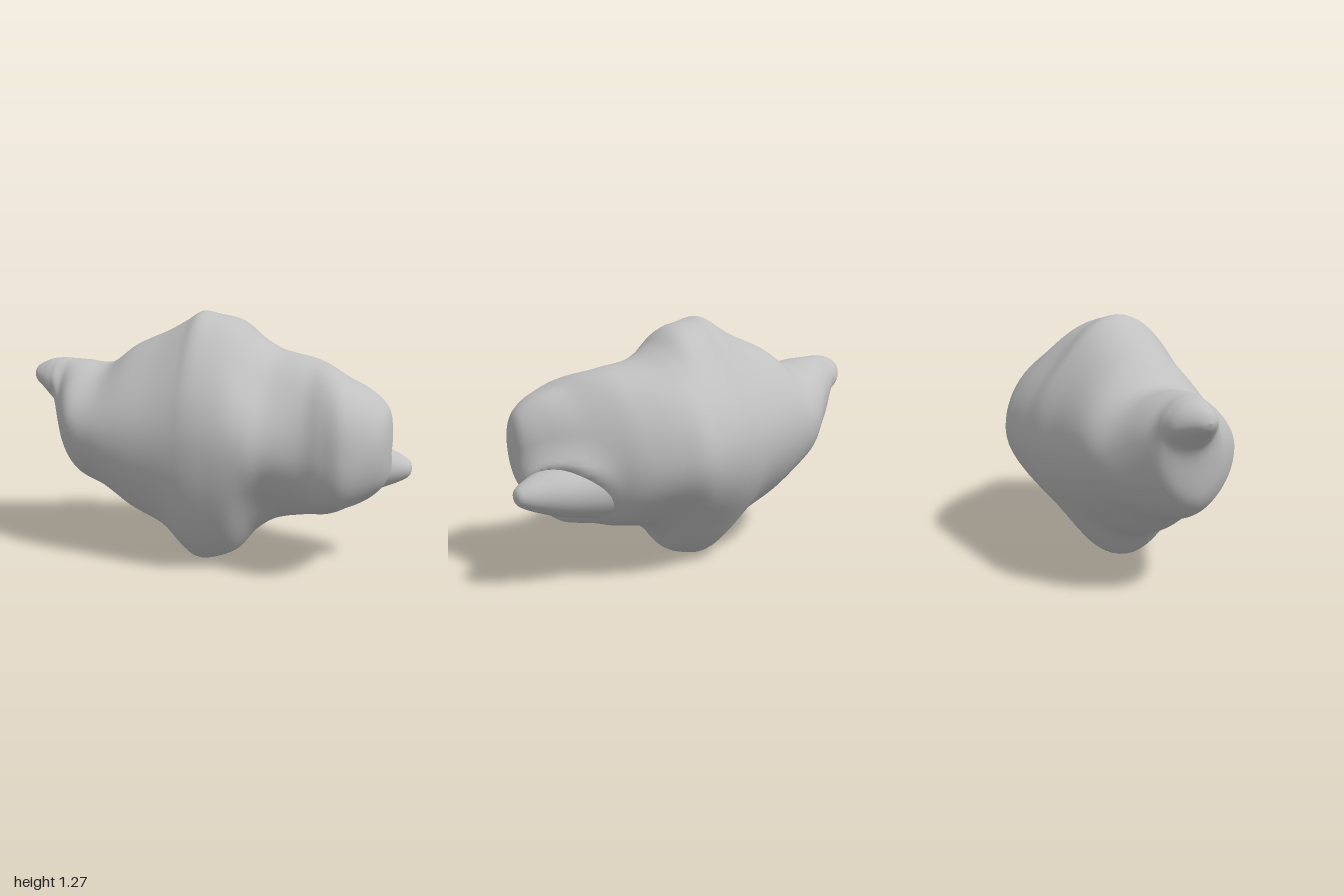
import * as THREE from 'three';

// Outline of the body along x: [x, top y, bottom y, front z, back z]
const OUTLINE = [
  [-1, 0.92, 0.92, 0, 0],
  [-0.98, 0.965, 0.88, 0.04, -0.05],
  [-0.91, 1.0, 0.82, 0.09, -0.12],
  [-0.85, 1.01, 0.74, 0.125, -0.145],
  [-0.8, 1.01, 0.53, 0.18, -0.17],
  [-0.7, 1.005, 0.42, 0.31, -0.24],
  [-0.55, 1.0, 0.355, 0.365, -0.34],
  [-0.4, 1.1, 0.25, 0.395, -0.375],
  [-0.23, 1.175, 0.165, 0.42, -0.405],
  [-0.12, 1.235, 0.05, 0.44, -0.43],
  [-0.05, 1.275, 0.005, 0.455, -0.44],
  [0.03, 1.262, 0.012, 0.465, -0.45],
  [0.15, 1.23, 0.065, 0.472, -0.468],
  [0.25, 1.145, 0.18, 0.465, -0.475],
  [0.35, 1.09, 0.245, 0.44, -0.43],
  [0.5, 1.06, 0.28, 0.435, -0.335],
  [0.6, 1.03, 0.31, 0.455, -0.24],
  [0.7, 0.98, 0.36, 0.467, -0.13],
  [0.8, 0.935, 0.42, 0.42, -0.01],
  [0.87, 0.88, 0.49, 0.35, 0.075],
  [0.9, 0.82, 0.58, 0.27, 0.13],
  [0.91, 0.71, 0.71, 0.2, 0.2],
];

// Where each outline lies: [x, z of top, z of bottom, y of front, y of back]
const RIDGES = [
  [-1, 0, 0, 0.92, 0.92],
  [-0.86, -0.01, 0.01, 0.88, 0.89],
  [-0.78, -0.01, 0.06, 0.74, 0.82],
  [-0.6, 0, 0.08, 0.68, 0.72],
  [-0.05, 0.03, 0.08, 0.66, 0.68],
  [0.25, 0.01, 0.07, 0.66, 0.68],
  [0.5, 0.04, 0.04, 0.64, 0.66],
  [0.7, 0.14, 0.12, 0.64, 0.66],
  [0.91, 0.2, 0.2, 0.71, 0.71],
];

const HORN = { y: 0.522, z: -0.01, squash: 0.86 };

// Smooth curve through the outline rows
function outlineAt(t) {
  const n = OUTLINE.length - 1;
  const i = Math.min(Math.floor(t), n - 1);
  const f = t - i;
  const row = (k) => OUTLINE[Math.max(0, Math.min(n, k))];
  return OUTLINE[0].map((_, c) => {
    const [a, b, d, e] = [row(i - 1)[c], row(i)[c], row(i + 1)[c], row(i + 2)[c]];
    const m0 = (d - a) / 2;
    const m1 = (e - b) / 2;
    return b + f * (m0 + f * (3 * (d - b) - 2 * m0 - m1 + f * (2 * (b - d) + m0 + m1)));
  });
}

function ridgesAt(x) {
  let i = 0;
  while (i < RIDGES.length - 2 && x > RIDGES[i + 1][0]) i++;
  const [a, b] = [RIDGES[i], RIDGES[i + 1]];
  const s = THREE.MathUtils.smoothstep(x, a[0], b[0]);
  return a.map((v, c) => v + (b[c] - v) * s);
}

const hump = (x, centre, width) => Math.exp(-(((x - centre) / width) ** 2));

// How far each quarter of a section is hollowed (+) or swollen (-)
function hollow(x, upper, front) {
  if (upper && front) return 0.06 + 0.04 * hump(x, 0.27, 0.13) - 0.13 * hump(x, 0.7, 0.17);
  if (front) return 0.03 + 0.09 * hump(x, 0.3, 0.12) - 0.1 * hump(x, 0.68, 0.16);
  if (upper) return 0.02 + 0.08 * hump(x, 0, 0.25) - 0.05 * hump(x, 0.36, 0.13);
  return 0.03 + 0.1 * hump(x, 0.08, 0.28);
}

// Swell the body where it meets the small horn, so the two flow together
function filletHorn(geometry, reach = 0.14) {
  const { position, normal } = geometry.attributes;
  for (let i = 0; i < position.count; i++) {
    const p = new THREE.Vector3().fromBufferAttribute(position, i);
    const fade = THREE.MathUtils.smoothstep(p.x, 0.55, 0.72);
    const radius = 0.105 + (0.9 - p.x) * 0.4;
    const gap = Math.hypot((p.y - HORN.y) / HORN.squash, p.z - HORN.z) - radius;
    const near = Math.max(0, 1 - Math.abs(gap) / reach);
    p.addScaledVector(new THREE.Vector3().fromBufferAttribute(normal, i), 0.05 * fade * near * near);
    position.setXYZ(i, p.x, p.y, p.z);
  }
  geometry.computeVertexNormals();
  return geometry;
}

// Closed cross-sections made of four quarter ellipses, joined along x
function lumpGeometry(around = 72, perRow = 7) {
  const steps = (OUTLINE.length - 1) * perRow;
  const position = [];
  const index = [];
  for (let s = 0; s <= steps; s++) {
    const [x, yTop, yBot, zFront, zBack] = outlineAt(s / perRow);
    const [, zTop, zBot, yFront, yBack] = ridgesAt(x);
    for (let k = 0; k < around; k++) {
      const a = (k / around) * Math.PI * 2;
      const sin = Math.sin(a);
      const cos = Math.cos(a);
      const upper = cos >= 0;
      const front = sin >= 0;
      const zc = upper ? zTop : zBot;
      const yc = front ? yFront : yBack;
      const r = 1 - hollow(x, upper, front) * Math.sin(2 * a) ** 2;
      position.push(
        x,
        yc + ((upper ? yTop : yBot) - yc) * Math.abs(cos) * r,
        zc + ((front ? zFront : zBack) - zc) * Math.abs(sin) * r,
      );
      if (s < steps) {
        const p = s * around + k;
        const q = s * around + ((k + 1) % around);
        index.push(p, q, p + around, q, q + around, p + around);
      }
    }
  }
  const geometry = new THREE.BufferGeometry();
  geometry.setAttribute('position', new THREE.Float32BufferAttribute(position, 3));
  geometry.setIndex(index);
  geometry.computeVertexNormals();
  return filletHorn(geometry);
}

// Blunt cone lying along +x: radius against x
function hornGeometry() {
  const curve = new THREE.SplineCurve(
    [[0.2, 0.5], [0.19, 0.62], [0.17, 0.71], [0.14, 0.81], [0.1, 0.9], [0.07, 0.955], [0.04, 0.99], [0, 1]]
      .map(([r, x]) => new THREE.Vector2(r, x)),
  );
  return new THREE.LatheGeometry(curve.getPoints(32), 48).rotateZ(-Math.PI / 2);
}

export function createModel() {
  const group = new THREE.Group();
  group.name = 'lumpyRock';
  const grey = new THREE.MeshStandardMaterial({ color: 0xc0c0c0 });
  grey.name = 'light grey';

  const rock = new THREE.Mesh(lumpGeometry(), grey);
  rock.name = 'rockBody';

  const horn = new THREE.Mesh(hornGeometry(), grey);
  horn.name = 'smallHorn';
  horn.position.set(0, HORN.y, HORN.z);
  horn.scale.set(1, HORN.squash, 1);

  group.add(rock, horn);
  return group;
}
